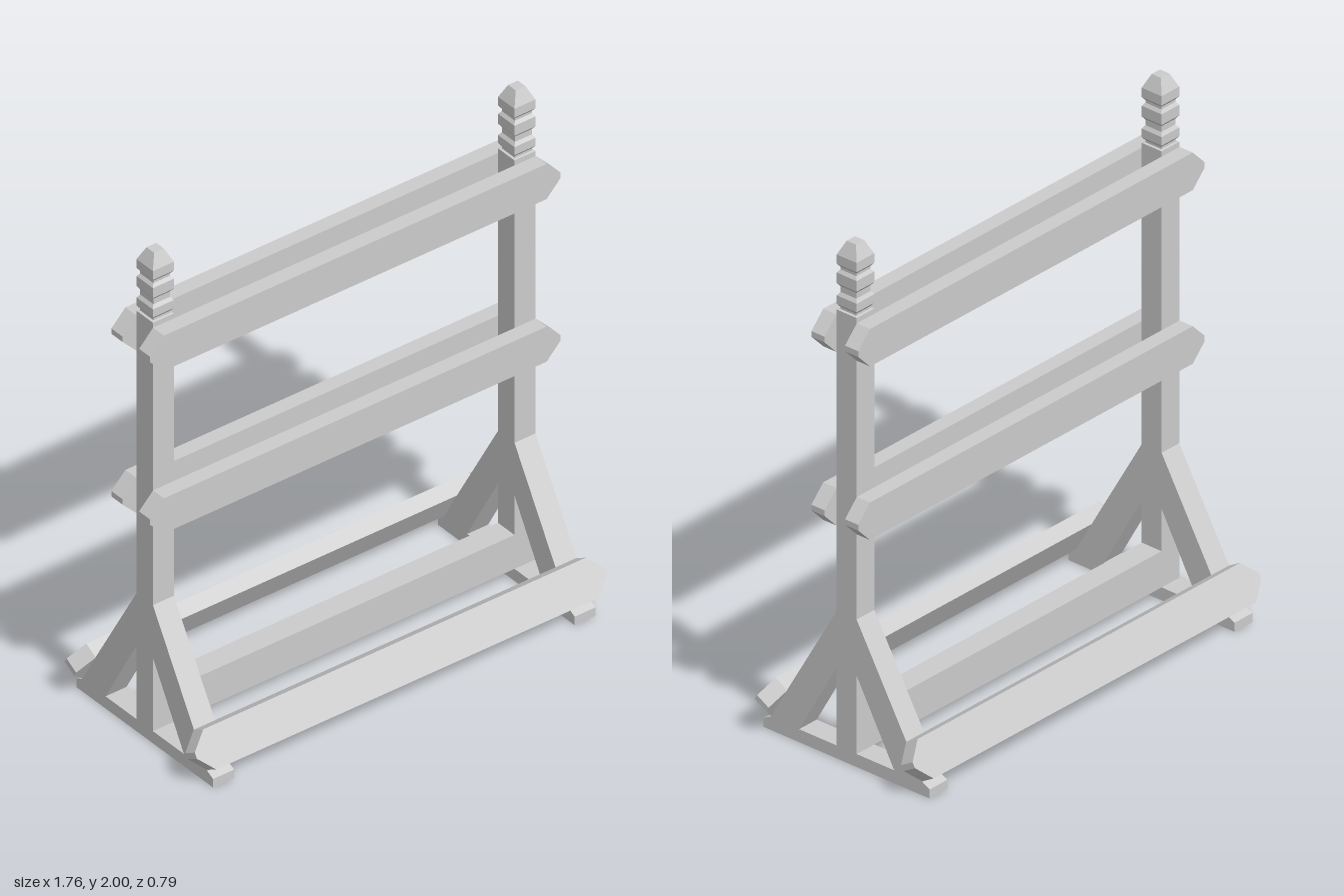
import * as THREE from 'three';

const material = new THREE.MeshStandardMaterial({ color: 0xcccccc, flatShading: true });

function part(name, geometry, x = 0, y = 0, z = 0) {
  const mesh = new THREE.Mesh(geometry, material);
  mesh.name = name;
  mesh.position.set(x, y, z);
  return mesh;
}

function polygon(points, Type = THREE.Shape) {
  return new Type(points.map(([x, y]) => new THREE.Vector2(x, y)));
}

// Extrusion centred on its own depth
function slab(shape, depth) {
  return new THREE.ExtrudeGeometry(shape, { depth, bevelEnabled: false }).translate(0, 0, -depth / 2);
}

export function createModel() {
  const group = new THREE.Group();
  const postX = 0.775, half = 0.045;

  // Post with its A-shaped foot, cut from one outline (drawn in z and y)
  const right = [[0.375, 0], [0.375, 0.035], [0.345, 0.05], [half, 0.57], [half, 1.735]];
  const left = right.map(([z, y]) => [-z, y]).reverse();
  const outline = polygon([...right, ...left]);
  for (const s of [1, -1]) {
    outline.holes.push(polygon([[s * half, 0.05], [s * 0.215, 0.05], [s * half, 0.353]], THREE.Path));
  }
  const frameGeometry = slab(outline, 2 * half).rotateY(Math.PI / 2);

  // Square turned finial: half-widths against height
  const profile = [
    [0.045, 1.735], [0.036, 1.737], [0.036, 1.745], [0.045, 1.757], [0.045, 1.79], [0.036, 1.803],
    [0.036, 1.825], [0.045, 1.837], [0.045, 1.878], [0.036, 1.89],
    [0.036, 1.9], [0.045, 1.912], [0.045, 1.948], [0.021, 2], [0, 2],
  ].map(([w, y]) => new THREE.Vector2(w * Math.SQRT2, y));
  const finialGeometry = new THREE.LatheGeometry(profile, 4).rotateY(Math.PI / 4);

  for (const s of [1, -1]) {
    const side = s > 0 ? 'left' : 'right';
    group.add(part(side + 'PostFrame', frameGeometry, s * postX));
    group.add(part(side + 'Finial', finialGeometry, s * postX));
  }

  // Rails with pointed ends
  const railGeometry = slab(polygon([
    [-0.82, -0.0725], [0.82, -0.0725], [0.88, -0.011], [0.88, 0.011],
    [0.82, 0.0725], [-0.82, 0.0725], [-0.88, 0.011], [-0.88, -0.011],
  ]), 0.06);
  for (const s of [1, -1]) {
    const side = s > 0 ? 'front' : 'back';
    group.add(part(side + 'TopRail', railGeometry, 0, 1.643, s * 0.076));
    group.add(part(side + 'MiddleRail', railGeometry, 0, 0.972, s * 0.076));
    // Bottom rails lie against the sloping legs
    const bottom = part(side + 'BottomRail', railGeometry, 0, 0.132, s * 0.331);
    bottom.rotation.x = -s * Math.PI / 6;
    group.add(bottom);
  }

  // Stretcher between the two posts
  group.add(part('stretcher', new THREE.BoxGeometry(2 * (postX - half), 0.14, 2 * half), 0, 0.12, 0));
  return group;
}
